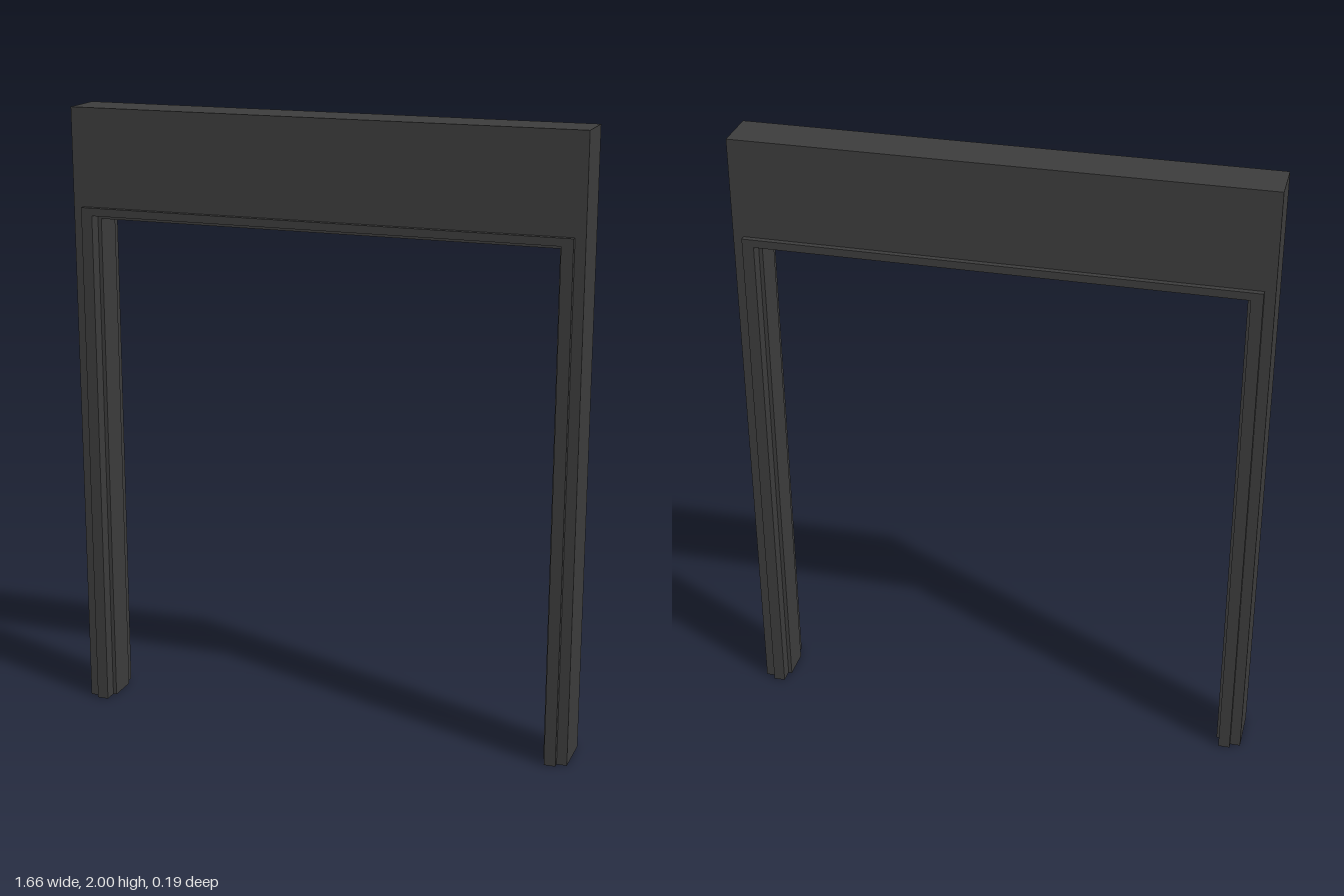
import * as THREE from 'three';

const material = new THREE.MeshStandardMaterial({ color: 0x3c3c3c });

// Upside-down U standing on the ground, extruded evenly about z = 0
function portal(name, outerX, outerY, innerX, innerY, depth, z = 0) {
  const shape = new THREE.Shape([
    [-outerX, 0], [-innerX, 0], [-innerX, innerY], [innerX, innerY],
    [innerX, 0], [outerX, 0], [outerX, outerY], [-outerX, outerY],
  ].map(([x, y]) => new THREE.Vector2(x, y)));
  const geometry = new THREE.ExtrudeGeometry(shape, { depth, bevelEnabled: false });
  geometry.translate(0, 0, z - depth / 2);
  const mesh = new THREE.Mesh(geometry, material);
  mesh.name = name;
  return mesh;
}

export function createModel() {
  const group = new THREE.Group();
  group.name = 'doorFrame';

  // Main posts and deep lintel
  group.add(portal('frame', 0.83, 2, 0.76, 1.66, 0.15));

  // Raised casing around the opening on both faces
  for (const side of [1, -1]) {
    group.add(portal(side > 0 ? 'frontCasing' : 'backCasing',
      0.797, 1.685, 0.76, 1.66, 0.018, side * 0.084));
  }

  // Stop strip running around the inside of the opening
  group.add(portal('doorStop', 0.76, 1.66, 0.748, 1.645, 0.1));
  return group;
}
